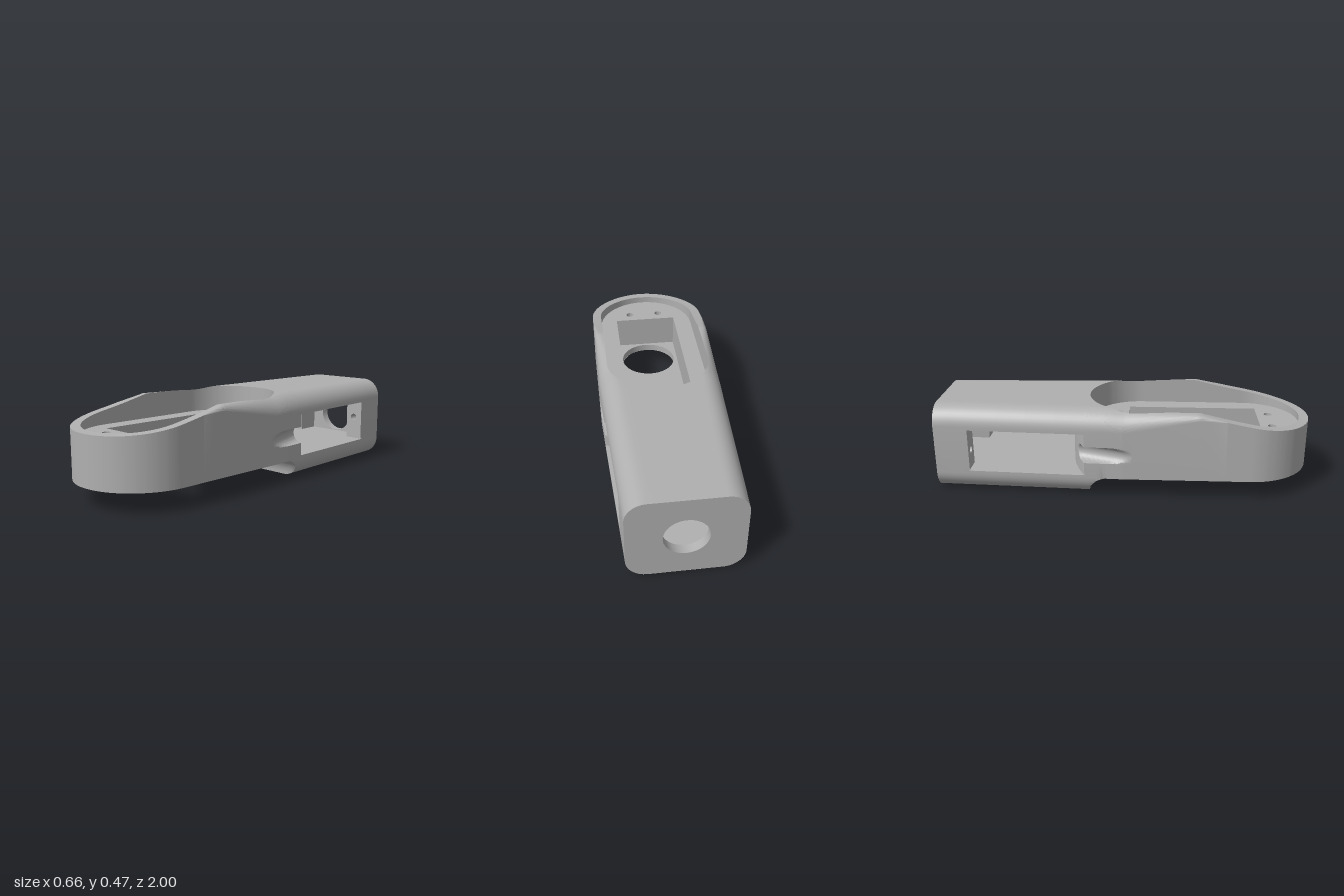
import * as THREE from 'three';
import { mergeGeometries, toCreasedNormals } from 'three/addons/utils/BufferGeometryUtils.js';

const { clamp, lerp, smoothstep } = THREE.MathUtils;
const R = 0.105;              // main edge rounding, also the underside height at the front
const FLOOR = 0.33;           // pocket floor
const WELL = 0.145;           // bottom of the rectangular well
const WIN = { z0: -0.82, z1: -0.2, y0: 0.12, y1: 0.35, back: -0.95 };

// ---- Outline rules -------------------------------------------------------
const circ = (r, d) => Math.sqrt(Math.max(0, r * r - d * d));
const halfWidth = z => z < 0 ? 0.33 + 0.045 * z : circ(0.33, Math.max(0, z - 0.67));
const pocketHalf = z => circ(0.28, z - clamp(z, 0.09, 0.67));
const holeHalf = z => circ(0.16, z - 0.56);
const ridge = z => z < 0.4
  ? lerp(0.47, 0.465, smoothstep(z, -0.1, 0.05))
  : 0.365 + 0.1 * Math.pow(clamp((1 - z) / 0.6, 0, 1), 1.5);
const topRound = z => R * clamp(1 - z / 0.54, 0, 1);
const drop = (x, z, r) => {
  const d = x - (halfWidth(z) - r);
  return d > 0 ? r - circ(r, Math.min(d, r)) : 0;
};
const topY = (x, z) => ridge(z) - drop(x, z, topRound(z));
const stepY = z => z < -0.18 ? 0 : z > -0.08 ? R : R * circ(1, (z + 0.08) / 0.1);
const bottomY = (x, z) => Math.max(stepY(z), drop(x, z, R));
const bulkheadZ = x => 0.4 - circ(0.68, x);

// Cable groove depth: a round cutter sinking in towards the rear
const GR = 0.045, GY = 0.235;
const grooveDepth = (z, y) => {
  const d = Math.abs(y - GY);
  return d > GR - 1e-6 ? 0 : Math.max(0, circ(GR, d) - GR + (0.05 - z) * 0.3);
};
const grooveRows = Array.from({ length: 17 }, (_, i) => GY - GR * Math.cos(i / 16 * Math.PI));

// ---- Helpers -------------------------------------------------------------
const range = n => Array.from({ length: n + 1 }, (_, i) => i / n);
const easeOut = t => Math.sin(t * Math.PI / 2);
const easeIn = t => 1 - Math.cos(t * Math.PI / 2);
const span = (a, b, n, ease = t => t) => range(n).map(t => lerp(a, b, ease(t)));

// Stations along the length, denser where the round ends turn
const stations = [...new Set([
  ...span(-1, -0.82, 2), ...span(-0.82, -0.2, 4), ...span(-0.19, 0.09, 18, easeIn),
  ...span(-0.18, -0.08, 9, easeIn), 0, 0.05, ...span(0.09, 0.67, 18), 0.54,
  ...span(0.4, 0.56, 9, easeIn), ...span(0.56, 0.72, 9, easeOut),
  ...span(0.67, 0.95, 16, easeOut), ...span(0.67, 1, 20, easeOut),
].map(z => +z.toFixed(4)))].sort((a, b) => a - b);
const between = (a, b) => stations.filter(z => z >= a - 1e-5 && z <= b + 1e-5);

// Surface through rows and columns of points
function grid(rows, cols, f, flip) {
  const pos = [], idx = [], n = cols.length;
  rows.forEach(a => cols.forEach(b => pos.push(...f(a, b))));
  for (let i = 0; i < rows.length - 1; i++) for (let j = 0; j < n - 1; j++) {
    const a = i * n + j, b = a + n, c = a + 1, d = b + 1;
    idx.push(...(flip ? [a, c, b, b, c, d] : [a, b, c, c, b, d]));
  }
  const g = new THREE.BufferGeometry();
  g.setAttribute('position', new THREE.Float32BufferAttribute(pos, 3));
  g.setIndex(idx);
  return g;
}

function circleHole(x, y, r) {
  const p = new THREE.Path();
  p.absarc(x, y, r, 0, Math.PI * 2, true);
  return p;
}

function rectPath(Type, x0, x1, y0, y1) {
  return new Type().moveTo(x0, y0).lineTo(x1, y0).lineTo(x1, y1).lineTo(x0, y1).closePath();
}

const extrude = (shape, depth) =>
  new THREE.ExtrudeGeometry(shape, { depth, bevelEnabled: false, curveSegments: 24 });

// Stadium plate lying flat, top at y1
function stadiumPlate(y0, y1, holes) {
  const s = new THREE.Shape();
  s.absarc(0, 0.67, 0.284, 0, Math.PI, false);
  s.absarc(0, 0.09, 0.284, Math.PI, Math.PI * 2, false);
  s.closePath();
  s.holes.push(...holes);
  return extrude(s, y1 - y0).rotateX(Math.PI / 2).translate(0, y1, 0);
}

export function createModel() {
  const group = new THREE.Group();
  const grey = new THREE.MeshStandardMaterial({ color: 0xb0b0b0, side: THREE.DoubleSide });
  grey.name = 'grey plastic';
  const add = (name, geo) => {
    const m = new THREE.Mesh(toCreasedNormals(geo, 0.6), grey);
    m.name = name;
    group.add(m);
  };

  const shell = [], pocketWall = [], bulkhead = [];
  const across = range(18).map(easeOut);
  for (const s of [1, -1]) {
    const plus = s > 0;
    // Top and underside, open over the pocket and the round hole
    shell.push(grid(stations, across, (z, u) => {
      const x = lerp(pocketHalf(z), halfWidth(z), u);
      return [s * x, topY(x, z), z];
    }, !plus));
    shell.push(grid(stations, across, (z, u) => {
      const x = lerp(holeHalf(z), halfWidth(z), u);
      return [s * x, bottomY(x, z), z];
    }, plus));

    // Side walls around the window
    const low = z => bottomY(halfWidth(z), z), high = z => topY(halfWidth(z), z);
    const wall = (a, b, lo, hi) => shell.push(grid(between(a, b), [0, 1],
      (z, v) => [s * halfWidth(z), lerp(lo(z), hi(z), v), z], plus));
    wall(-1, WIN.z0, low, high);
    wall(WIN.z0, WIN.z1, low, () => WIN.y0);
    wall(WIN.z0, WIN.z1, () => WIN.y1, high);
    wall(0.05, 1, low, high);

    // Grooved part of the side wall
    shell.push(grid(between(WIN.z1, 0.05), [-1, ...grooveRows, 1], (z, r) => {
      const y = r === -1 ? low(z) : r === 1 ? high(z) : r;
      return [s * (halfWidth(z) - grooveDepth(z, y)), y, z];
    }, plus));

    // Curved bulkhead at the front of the window, cut by the groove
    const w = halfWidth(WIN.z1);
    bulkhead.push(grid([WIN.y0, ...grooveRows, WIN.y1], span(0, w, 28), (y, x) => {
      const z = bulkheadZ(x);
      return [s * Math.min(x, w - grooveDepth(z, y)), y, z];
    }, !plus));

    // Pocket wall rising to the sloping rim
    pocketWall.push(grid(between(-0.19, 0.95), [0, 1], (z, v) => {
      const x = pocketHalf(z);
      return [s * x, lerp(FLOOR, topY(x, z), v), z];
    }, !plus));
  }
  add('outerShell', mergeGeometries(shell));
  add('pocketWall', mergeGeometries(pocketWall));
  add('windowBulkhead', mergeGeometries(bulkhead));

  // Pocket floor with the rectangular well and screw holes
  const screws = [];
  for (const x of [-0.09, 0.09]) for (const z of [-0.04, 0.8]) screws.push(circleHole(x, z, 0.022));
  add('pocketFloor', stadiumPlate(WELL, FLOOR,
    [rectPath(THREE.Path, -0.18, 0.18, 0.02, 0.735), ...screws]));
  add('wellFloor', stadiumPlate(R + 0.001, WELL, [circleHole(0, 0.56, 0.16)]));

  // Floor and ceiling of the side window
  for (const [name, y, flip] of [['windowFloor', WIN.y0, false], ['windowCeiling', WIN.y1, true]]) {
    add(name, grid(range(8), span(-1, 1, 32), (v, u) => {
      const x = u * halfWidth(lerp(WIN.back, WIN.z1, v));
      return [x, y, lerp(WIN.back, bulkheadZ(x), v)];
    }, flip));
  }

  // Mounting blocks at the rear of the window, each with a screw hole
  for (const s of [1, -1]) {
    const block = rectPath(THREE.Shape, 0.18, 0.285, WIN.y0, WIN.y1);
    block.holes.push(circleHole(0.23, 0.25, 0.02));
    const geo = extrude(block, WIN.z0 - WIN.back);
    if (s < 0) geo.rotateZ(Math.PI).translate(0, WIN.y0 + WIN.y1, 0);
    add('mountingBlock', geo.translate(0, 0, WIN.back));
  }

  // Rear plate with the round shaft hole
  const h = 0.2845, t = 0.4695, b = 0.0005, q = Math.PI / 2;
  const cap = new THREE.Shape();
  cap.absarc(h - R, t - R, R, 0, q, false);
  cap.absarc(-h + R, t - R, R, q, 2 * q, false);
  cap.absarc(-h + R, b + R, R, 2 * q, 3 * q, false);
  cap.absarc(h - R, b + R, R, 3 * q, 4 * q, false);
  cap.closePath();
  cap.holes.push(circleHole(0, 0.235, 0.11));
  add('rearPlate', extrude(cap, WIN.back + 1).translate(0, 0, -1));

  return group;
}
